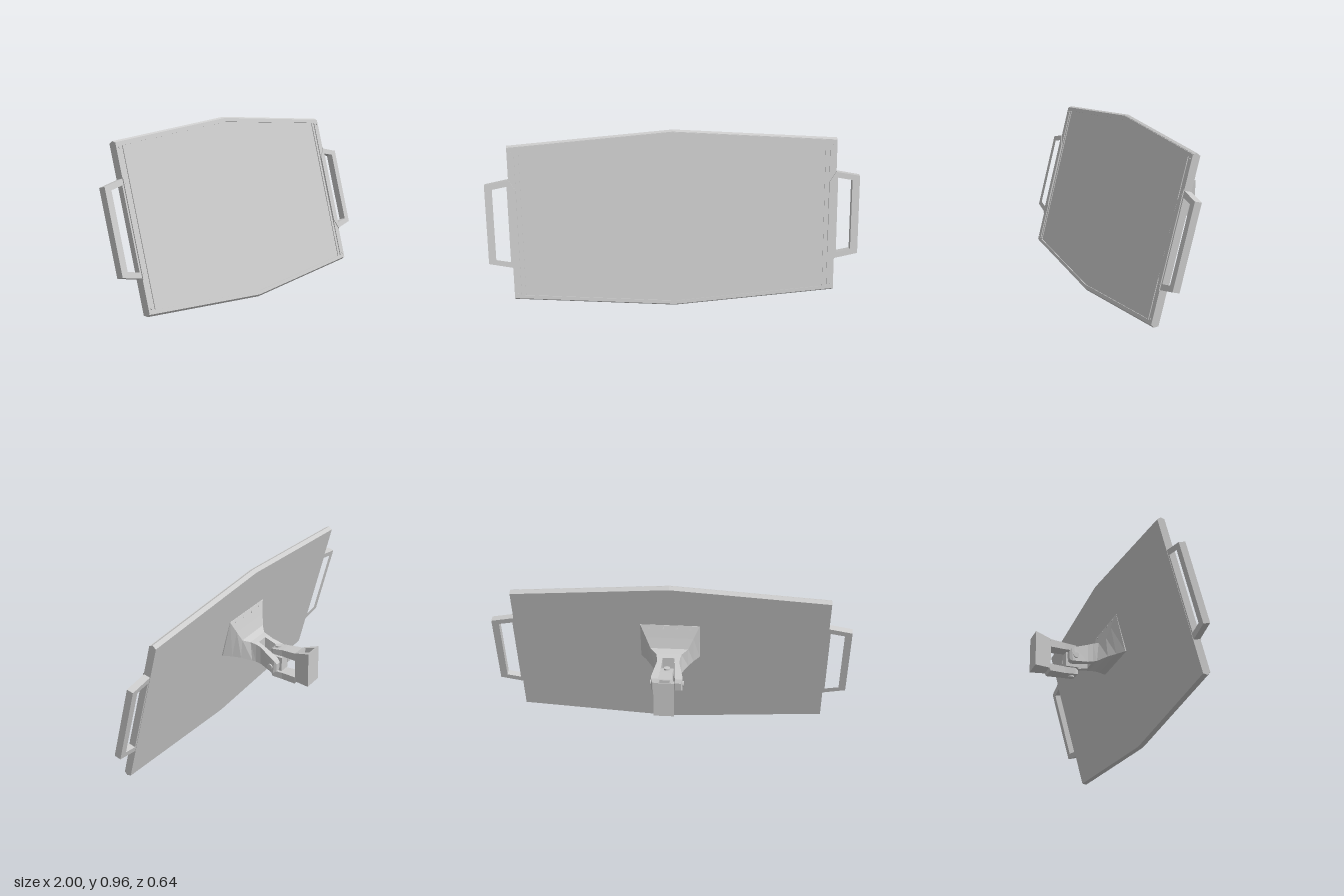
import * as THREE from 'three';

const grey = new THREE.MeshStandardMaterial({ color: 0xcccccc, flatShading: true });

function add(parent, name, geometry, x = 0, y = 0, z = 0) {
  const mesh = new THREE.Mesh(geometry, grey);
  mesh.name = name;
  mesh.position.set(x, y, z);
  parent.add(mesh);
  return mesh;
}

// Skin convex rings of [x, y, z] corners, ordered front to back, counter-clockwise from the front
function loft(rings) {
  const n = rings[0].length, last = (rings.length - 1) * n, index = [];
  for (let i = 0; i < rings.length - 1; i++) {
    for (let k = 0; k < n; k++) {
      const a = i * n + k, b = i * n + (k + 1) % n;
      index.push(a, a + n, b, b, a + n, b + n);
    }
  }
  for (let k = 1; k < n - 1; k++) index.push(0, k, k + 1, last, last + k + 1, last + k);
  const geo = new THREE.BufferGeometry();
  geo.setAttribute('position', new THREE.Float32BufferAttribute(rings.flat(2), 3));
  geo.setIndex(index);
  const flat = geo.toNonIndexed();
  flat.computeVertexNormals();
  return flat;
}

// Four-sided section whose top and bottom edges may lie at different depths
const section = (x0, x1, zTop, yTop, zBot, yBot) =>
  [[x0, yBot, zBot], [x1, yBot, zBot], [x1, yTop, zTop], [x0, yTop, zTop]];

// Six-sided outline with a peak at top and bottom
const outline = (w, side, peak) =>
  [[-w, -side], [0, -peak], [w, -side], [w, side], [0, peak], [-w, side]];

const shapeOf = pts => new THREE.Shape(pts.map(p => new THREE.Vector2(...p)));

function extrude(pts, depth, hole) {
  const shape = shapeOf(pts);
  if (hole) shape.holes.push(shapeOf(hole));
  return new THREE.ExtrudeGeometry(shape, { depth, bevelEnabled: false });
}

function buildScreen() {
  const screen = new THREE.Group();
  screen.name = 'screen';
  screen.position.set(0, 0.486, 0.178);
  screen.rotation.x = -0.255;

  // Panel with chamfered upper and lower edges
  const ring = (inset, z) => outline(0.872, 0.431 - inset, 0.496 - inset).map(([x, y]) => [x, y, z]);
  add(screen, 'panel', loft([ring(0.009, 0.015), ring(0, 0.003), ring(0.01, -0.02)]));
  add(screen, 'frontRim', extrude(outline(0.872, 0.42, 0.485), 0.005,
    outline(0.835, 0.404, 0.466)), 0, 0, 0.015);

  for (const s of [1, -1]) {
    const flip = pts => pts.map(([x, y]) => [s * x, y]);
    // Inner side strip, separated from the rim by a narrow groove
    add(screen, 'sideStrip', new THREE.BoxGeometry(0.014, 0.812, 0.004), s * 0.818, 0, 0.017);
    // Carrying handle
    add(screen, 'handle', extrude(
      flip([[0.865, -0.246], [1, -0.219], [1, 0.219], [0.865, 0.246]]), 0.037,
      flip([[0.882, -0.212], [0.96, -0.197], [0.96, 0.197], [0.882, 0.212]])), 0, 0, -0.018);
    // Mounting plate of the handle
    add(screen, 'handlePlate', extrude(
      flip([[0.835, -0.19], [0.872, -0.25], [0.872, 0.25], [0.835, 0.19]]), 0.004), 0, 0, 0.02);
    for (const [x, y] of [[0.855, 0.395], [0.855, -0.395], [0.858, 0.22], [0.858, -0.22]]) {
      add(screen, 'screw', new THREE.CylinderGeometry(0.005, 0.005, 0.004, 8), s * x, y, 0.023)
        .rotation.x = Math.PI / 2;
    }
  }
  return screen;
}

function buildScreenBracket() {
  const bracket = new THREE.Group();
  bracket.name = 'screenBracket';
  // Flared foot against the back of the panel
  add(bracket, 'flaredFoot', loft([
    section(-0.165, 0.165, 0.108, 0.712, 0.16, 0.492),
    section(-0.165, 0.165, 0.098, 0.708, 0.15, 0.489),
    section(-0.132, 0.132, 0.078, 0.64, 0.11, 0.481),
    section(-0.105, 0.105, 0.06, 0.583, 0.07, 0.472),
    section(-0.07, 0.07, 0.03, 0.564, 0.02, 0.452),
    section(-0.064, 0.064, 0.0, 0.557, 0.0, 0.449)]));
  for (let i = 0; i < 4; i++) {
    add(bracket, 'footScrew', new THREE.CylinderGeometry(0.006, 0.006, 0.006, 8),
      -0.115 + i * 0.0767, 0.69, 0.0925).rotation.x = -1.25;
  }
  // Fork arms holding the tilt axle
  for (const s of [1, -1]) {
    const arm = (a, b, ...rest) => section(Math.min(s * a, s * b), Math.max(s * a, s * b), ...rest);
    add(bracket, 'forkArm', loft([
      arm(0.032, 0.064, 0.005, 0.559, 0.005, 0.449),
      arm(0.034, 0.062, -0.03, 0.546, -0.03, 0.443),
      arm(0.042, 0.085, -0.115, 0.508, -0.11, 0.427),
      arm(0.045, 0.085, -0.13, 0.5, -0.123, 0.425),
      arm(0.047, 0.078, -0.143, 0.48, -0.139, 0.435)]));
    add(bracket, 'axleHead', new THREE.CylinderGeometry(0.015, 0.015, 0.012, 16),
      s * 0.086, 0.46, -0.105).rotation.z = Math.PI / 2;
  }
  add(bracket, 'tiltAxle', new THREE.CylinderGeometry(0.01, 0.01, 0.17, 16), 0, 0.46, -0.105)
    .rotation.z = Math.PI / 2;
  return bracket;
}

function buildWallBracket() {
  const mount = new THREE.Group();
  mount.name = 'wallBracket';
  const box = (w, z, top, bottom) => section(-w, w, z, top, z, bottom);
  // Swivel block between the two brackets
  add(mount, 'swivelBlock', new THREE.BoxGeometry(0.06, 0.082, 0.075), 0, 0.457, -0.108);
  add(mount, 'swivelPin', new THREE.CylinderGeometry(0.012, 0.012, 0.18, 16), 0, 0.458, -0.105);
  for (const y of [0.547, 0.371]) {
    add(mount, 'pinHead', new THREE.CylinderGeometry(0.017, 0.017, 0.016, 16), 0, y, -0.105);
  }
  // Upper and lower arms
  add(mount, 'upperArm', loft([
    box(0.022, -0.073, 0.533, 0.52), box(0.036, -0.092, 0.543, 0.512),
    box(0.034, -0.15, 0.55, 0.512), box(0.041, -0.24, 0.557, 0.512)]));
  add(mount, 'lowerArm', loft([
    box(0.022, -0.073, 0.402, 0.382), box(0.036, -0.092, 0.408, 0.372),
    box(0.034, -0.15, 0.408, 0.37), box(0.041, -0.235, 0.41, 0.37),
    box(0.041, -0.243, 0.41, 0.385)]));
  // Wall block with a recess in its sloping top
  add(mount, 'wallBlock', loft([box(0.04, -0.235, 0.535, 0.385), box(0.055, -0.325, 0.545, 0.385)]));
  for (const s of [1, -1]) {
    const cheek = (w, z, top) =>
      section(Math.min(s * 0.028, s * w), Math.max(s * 0.028, s * w), z, top, z, 0.53);
    add(mount, 'recessCheek', loft([cheek(0.04, -0.235, 0.558), cheek(0.055, -0.325, 0.585)]));
  }
  add(mount, 'recessFront', loft([box(0.03, -0.235, 0.558, 0.53), box(0.03, -0.258, 0.565, 0.53)]));
  add(mount, 'recessBack', loft([box(0.03, -0.315, 0.582, 0.53), box(0.03, -0.325, 0.585, 0.53)]));
  return mount;
}

export function createModel() {
  const model = new THREE.Group();
  model.name = 'wallMountedScreen';
  model.add(buildScreen(), buildScreenBracket(), buildWallBracket());
  return model;
}
